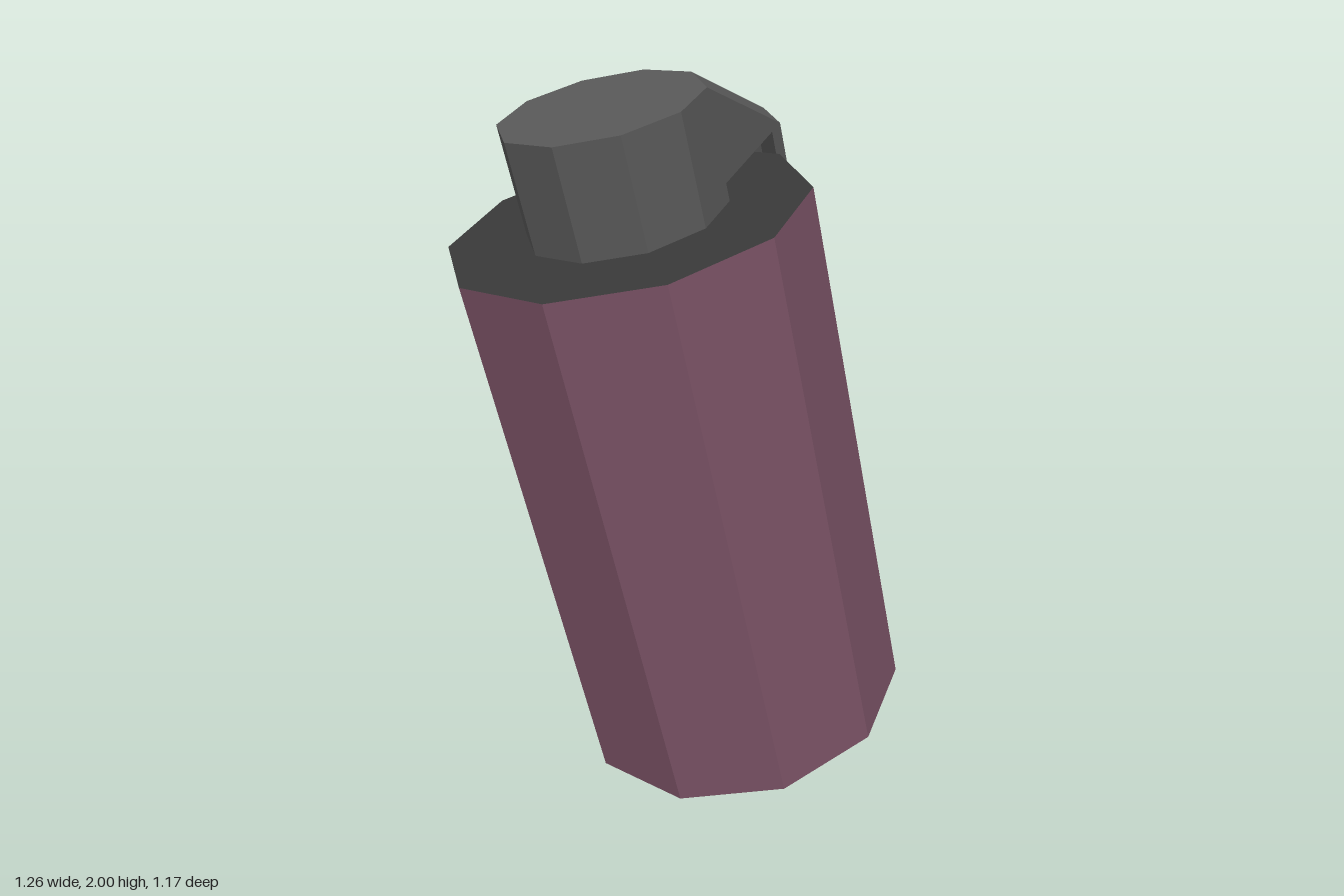
import * as THREE from 'three';
import { ConvexGeometry } from 'three/addons/geometries/ConvexGeometry.js';

const LENGTH = 1.581, BODY_R = 0.485;      // ten-sided body
const CAP_R = 0.27, CAP_H = 0.3;           // ten-sided cap on top
const REACH = 0.418, GAP = 0.048;          // lever offset, clearance above the body
const LEVER_LEN = 0.73, LEVER_T = 0.066;

const faceted = (geometry) => {
  const g = geometry.index ? geometry.toNonIndexed() : geometry;
  g.computeVertexNormals();
  return g;
};

// Ten-sided prism with a corner on local +x, standing on y = base
const prism = (radius, height, base) =>
  faceted(new THREE.CylinderGeometry(radius, radius, height, 10, 1, false, Math.PI / 2)
    .translate(0, base + height / 2, 0));

export function createModel() {
  const purple = new THREE.MeshStandardMaterial({ color: 0x7a5265 });
  purple.name = 'dusty purple';
  const grey = new THREE.MeshStandardMaterial({ color: 0x595959 });
  grey.name = 'mid grey';
  const dark = new THREE.MeshStandardMaterial({ color: 0x393939 });
  dark.name = 'dark grey';

  const tilted = new THREE.Group();
  tilted.name = 'tiltedCanister';
  const add = (name, geometry, material) => {
    const mesh = new THREE.Mesh(geometry, material);
    mesh.name = name;
    tilted.add(mesh);
  };

  // Body with dark ends, and the cap
  add('body', prism(BODY_R, LENGTH, 0), [purple, dark, dark]);
  add('cap', prism(CAP_R, CAP_H, LENGTH), grey);

  // Five corners of the cap on the lever side
  const arc = [-2, -1, 0, 1, 2].map((i) => {
    const t = i * Math.PI / 5;
    return new THREE.Vector2(CAP_R * Math.cos(t), CAP_R * Math.sin(t));
  });

  // Bridge sloping from the cap top down to the lever, flat underneath
  const low = LENGTH + GAP;
  const points = [];
  arc.forEach((p, i) => {
    points.push(new THREE.Vector3(p.x, LENGTH + CAP_H, p.y));
    points.push(new THREE.Vector3(p.x + REACH, low, p.y));
    if (i === 0 || i === 4) points.push(new THREE.Vector3(p.x, low, p.y));
  });
  add('leverBridge', faceted(new ConvexGeometry(points)), grey);

  // Curved lever plate hanging beside the body
  const outer = arc.map((p) => new THREE.Vector2(p.x + REACH, p.y));
  const inner = outer.map((p) => new THREE.Vector2(p.x - LEVER_T, p.y)).reverse();
  const plate = new THREE.ExtrudeGeometry(new THREE.Shape([...outer, ...inner]),
    { depth: LEVER_LEN, bevelEnabled: false });
  plate.rotateX(Math.PI / 2).translate(0, low, 0);
  add('leverPlate', faceted(plate), grey);

  // Lean the canister; the lever points to the back left
  const axis = new THREE.Vector3(-0.315, 1.545, 0.12).normalize();
  const side = new THREE.Vector3(0.359, 0.146, -0.923);
  side.addScaledVector(axis, -side.dot(axis)).normalize();
  const third = new THREE.Vector3().crossVectors(side, axis);
  tilted.quaternion.setFromRotationMatrix(new THREE.Matrix4().makeBasis(side, axis, third));
  tilted.position.set(0.156, 0.104, -0.004);

  const model = new THREE.Group();
  model.name = 'canister';
  model.add(tilted);
  return model;
}
